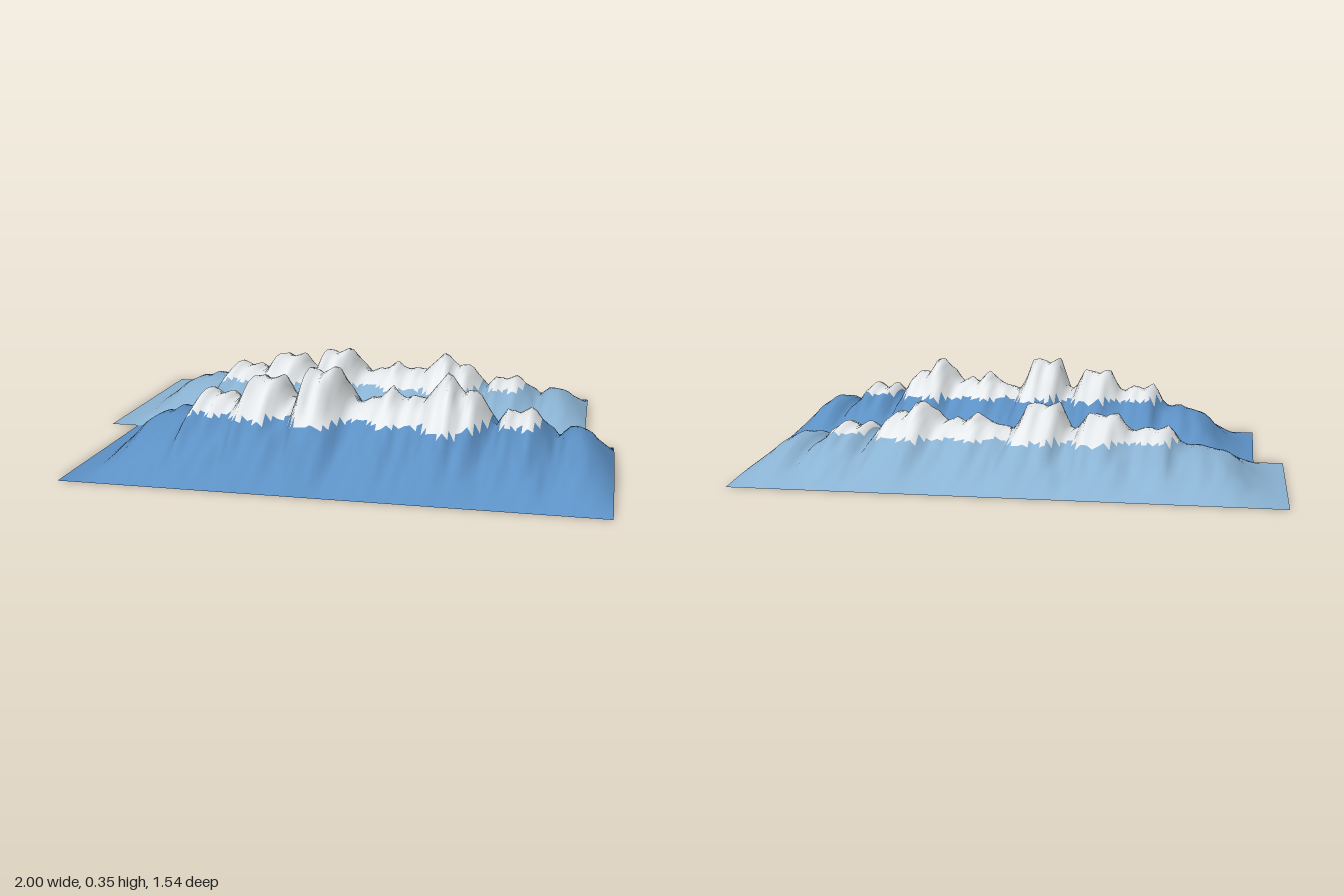
import * as THREE from 'three';

// Ridge crest as [x, height] pairs
const CREST = [
  [-0.89, 0], [-0.84, 0.008], [-0.79, 0.035], [-0.74, 0.08], [-0.71, 0.12], [-0.67, 0.145],
  [-0.62, 0.155], [-0.59, 0.175], [-0.55, 0.16], [-0.52, 0.18], [-0.48, 0.257], [-0.44, 0.23],
  [-0.40, 0.246], [-0.353, 0.214], [-0.294, 0.315], [-0.257, 0.294], [-0.2, 0.31], [-0.15, 0.22],
  [-0.12, 0.246], [-0.086, 0.355], [-0.043, 0.33], [0.01, 0.36], [0.05, 0.257], [0.08, 0.22],
  [0.13, 0.24], [0.17, 0.25], [0.214, 0.294], [0.257, 0.246], [0.294, 0.267], [0.33, 0.246],
  [0.374, 0.305], [0.42, 0.358], [0.465, 0.273], [0.50, 0.30], [0.535, 0.257], [0.58, 0.166],
  [0.626, 0.235], [0.66, 0.209], [0.706, 0.24], [0.76, 0.176], [0.80, 0.128], [0.83, 0.171],
  [0.88, 0.176], [0.92, 0.15], [0.96, 0.107], [1, 0.06],
];
const X0 = -0.89, X1 = 1, Z0 = -0.04, Z1 = 0.77;
const NX = 96, NZ = 36, SNOW_LINE = 0.2;

function crestHeight(x) {
  const c = THREE.MathUtils.clamp(x, X0, X1);
  let i = 1;
  while (i < CREST.length - 1 && CREST[i][0] < c) i++;
  const [xa, ha] = CREST[i - 1], [xb, hb] = CREST[i];
  return ha + (hb - ha) * (c - xa) / (xb - xa);
}

// Arched section across z; spurs wander sideways as they run down the slopes
function height(x, z) {
  const t = (z - Z0) / (Z1 - Z0);
  const fade = Math.min(1, (x - X0) / 0.15, (X1 - x) / 0.15);
  const away = t - 0.5;
  const wander = fade * away * (0.035 * Math.sin(x * 23 + 1) + 0.03 * Math.sin(z * 17 + x * 5));
  const skew = t + 0.05 * fade * Math.sin(x * 19) * t * (1 - t);
  const gully = 1 + fade * 0.05 * Math.sin(x * 95 + 3 * Math.sin(z * 9)) * Math.min(1, Math.abs(away) * 4);
  return Math.max(0, Math.sin(Math.PI * skew)) * crestHeight(x + wander) * gully;
}

// One open sheet of terrain, split by altitude into slopes and snow
function ridge(name, color) {
  const pos = [], slopes = [], snow = [];
  for (let j = 0; j <= NZ; j++) {
    for (let i = 0; i <= NX; i++) {
      const x = X0 + (X1 - X0) * i / NX, z = Z0 + (Z1 - Z0) * j / NZ;
      pos.push(x, height(x, z), z);
    }
  }
  for (let j = 0; j < NZ; j++) {
    for (let i = 0; i < NX; i++) {
      const a = j * (NX + 1) + i, b = a + 1, c = a + NX + 1, d = c + 1;
      const mean = (pos[a * 3 + 1] + pos[b * 3 + 1] + pos[c * 3 + 1] + pos[d * 3 + 1]) / 4;
      (mean > SNOW_LINE ? snow : slopes).push(a, c, b, b, c, d);
    }
  }
  const whole = new THREE.BufferGeometry();
  whole.setAttribute('position', new THREE.Float32BufferAttribute(pos, 3));
  whole.setIndex([...slopes, ...snow]);
  whole.computeVertexNormals();

  const group = new THREE.Group();
  group.name = name;
  for (const [part, index, tint] of [['slopes', slopes, color], ['snowCaps', snow, 0xe6eaec]]) {
    const geo = new THREE.BufferGeometry();
    geo.setAttribute('position', whole.getAttribute('position'));
    geo.setAttribute('normal', whole.getAttribute('normal'));
    geo.setIndex(index);
    const mesh = new THREE.Mesh(geo, new THREE.MeshStandardMaterial({ color: tint, side: THREE.DoubleSide }));
    mesh.name = part;
    group.add(mesh);
  }
  return group;
}

export function createModel() {
  const model = new THREE.Group();
  model.name = 'mountainRange';

  const front = ridge('frontRidge', 0x5c90c4);

  // Lower, paler ridge behind, shifted sideways
  const back = ridge('backRidge', 0x8ab2d2);
  back.scale.y = 0.75;
  back.position.set(-0.11, 0, -0.73);

  model.add(front, back);
  return model;
}
